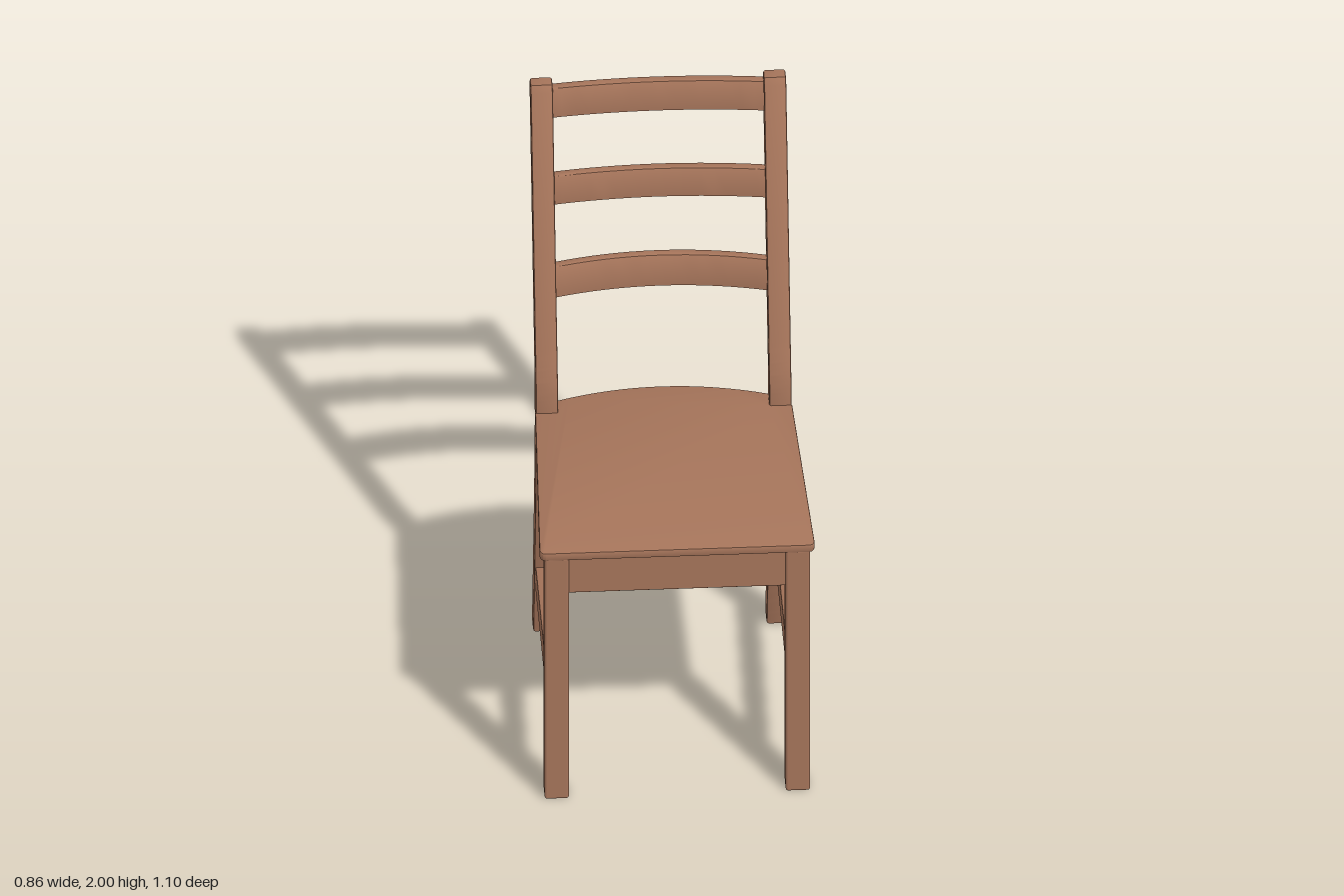
import * as THREE from 'three';
import { toCreasedNormals } from 'three/addons/utils/BufferGeometryUtils.js';
import { RoundedBoxGeometry } from 'three/addons/geometries/RoundedBoxGeometry.js';

export function createModel() {
  const chair = new THREE.Group();
  chair.name = 'chair';
  const wood = new THREE.MeshStandardMaterial({ color: 0xa5745a });
  wood.name = 'brownWood';

  const add = (name, geometry) => {
    const mesh = new THREE.Mesh(geometry, wood);
    mesh.name = name;
    chair.add(mesh);
    return mesh;
  };

  // Extrudes a shape to an exact depth, with a small bevel inside that depth
  const extrude = (shape, depth, bevel) => {
    const g = new THREE.ExtrudeGeometry(shape, {
      depth: depth - 2 * bevel, curveSegments: 16, bevelEnabled: bevel > 0,
      bevelThickness: bevel, bevelSize: bevel, bevelOffset: -bevel, bevelSegments: 2,
    });
    return g.translate(0, 0, bevel);
  };
  const finish = (g) => toCreasedNormals(g, 0.6);

  // Plan shape (x, -z) raised from y0 to y1
  const planSlab = (shape, y0, y1, bevel) =>
    extrude(shape, y1 - y0, bevel).rotateX(-Math.PI / 2).translate(0, y0, 0);

  // Side profile (-z, y) widened from x0 to x1
  const sideSlab = (shape, x0, x1, bevel) =>
    extrude(shape, x1 - x0, bevel).rotateY(Math.PI / 2).translate(x0, 0, 0);

  // Bar bowed backwards in plan and leaning back with height
  const bowedBar = (y0, y1, zEnd, bow, thick, lean) => {
    const h = 0.345, t = thick / 2, s = new THREE.Shape();
    s.moveTo(-h, -zEnd - t);
    s.quadraticCurveTo(0, -zEnd - t + 2 * bow, h, -zEnd - t);
    s.lineTo(h, -zEnd + t);
    s.quadraticCurveTo(0, -zEnd + t + 2 * bow, -h, -zEnd + t);
    s.closePath();
    const g = planSlab(s, y0, y1, 0.005);
    const p = g.attributes.position;
    for (let i = 0; i < p.count; i++) {
      p.setZ(i, p.getZ(i) - lean * (p.getY(i) - (y0 + y1) / 2));
    }
    return finish(g);
  };

  // Seat board: tapers to the back, notched round the posts, bowed rear edge
  const seat = new THREE.Shape();
  seat.moveTo(-0.41, -0.55);
  seat.lineTo(0.41, -0.55);
  seat.quadraticCurveTo(0.43, -0.55, 0.43, -0.525);
  seat.lineTo(0.402, 0.195);
  seat.lineTo(0.335, 0.195);
  seat.lineTo(0.335, 0.257);
  seat.quadraticCurveTo(0, 0.375, -0.335, 0.257);
  seat.lineTo(-0.335, 0.195);
  seat.lineTo(-0.402, 0.195);
  seat.lineTo(-0.43, -0.525);
  seat.quadraticCurveTo(-0.43, -0.55, -0.41, -0.55);
  add('seat', finish(planSlab(seat, 0.923, 0.952, 0.005)));

  // Aprons under the seat, front and back
  add('frontApron', new RoundedBoxGeometry(0.7, 0.14, 0.03, 2, 0.005)).position.set(0, 0.86, 0.525);
  add('backApron', bowedBar(0.79, 0.93, -0.225, 0.048, 0.03, 0));

  // Back slats: bottom, top, end depth, bow
  for (const [y0, y1, zEnd, bow] of [
    [1.31, 1.41, -0.335, 0.048],
    [1.61, 1.702, -0.417, 0.026],
    [1.885, 1.98, -0.502, 0.021],
  ]) add('backSlat', bowedBar(y0, y1, zEnd, bow, 0.03, 0.29));

  // Rear post profile: splayed foot, bend at the seat, raked back
  const post = new THREE.Shape();
  post.moveTo(0.41, 0);
  post.splineThru([[0.36, 0.25], [0.302, 0.55], [0.268, 0.78], [0.26, 0.9], [0.27, 1.04], [0.306, 1.17]]
    .map(([x, y]) => new THREE.Vector2(x, y)));
  post.lineTo(0.545, 1.98);
  post.lineTo(0.535, 2);
  post.lineTo(0.495, 2);
  post.lineTo(0.477, 1.98);
  post.lineTo(0.24, 1.17);
  post.splineThru([[0.202, 1.04], [0.19, 0.9], [0.197, 0.78], [0.23, 0.55], [0.288, 0.25], [0.34, 0]]
    .map(([x, y]) => new THREE.Vector2(x, y)));

  for (const [side, s] of [['left', 1], ['right', -1]]) {
    add(side + 'BackPost', finish(sideSlab(post, s * 0.365 - 0.035, s * 0.365 + 0.035, 0.007)));
    add(side + 'FrontLeg', new RoundedBoxGeometry(0.076, 0.93, 0.07, 2, 0.008))
      .position.set(s * 0.377, 0.465, 0.514);

    // Side apron follows the taper of the seat
    const apron = new THREE.Shape([
      [0.378, -0.5], [0.41, -0.5], [0.394, 0.23], [0.362, 0.23],
    ].map(([x, y]) => new THREE.Vector2(s * x, y)));
    add(side + 'Apron', finish(planSlab(apron, 0.79, 0.93, 0.004)));

    // Low stretcher, dropping slightly to the back
    const stretcher = new THREE.Shape([
      [-0.5, 0.222], [0.31, 0.2], [0.31, 0.29], [-0.5, 0.316],
    ].map(([x, y]) => new THREE.Vector2(x, y)));
    add(side + 'Stretcher', finish(sideSlab(stretcher, s * 0.378 - 0.018, s * 0.378 + 0.018, 0.005)));
  }
  return chair;
}
